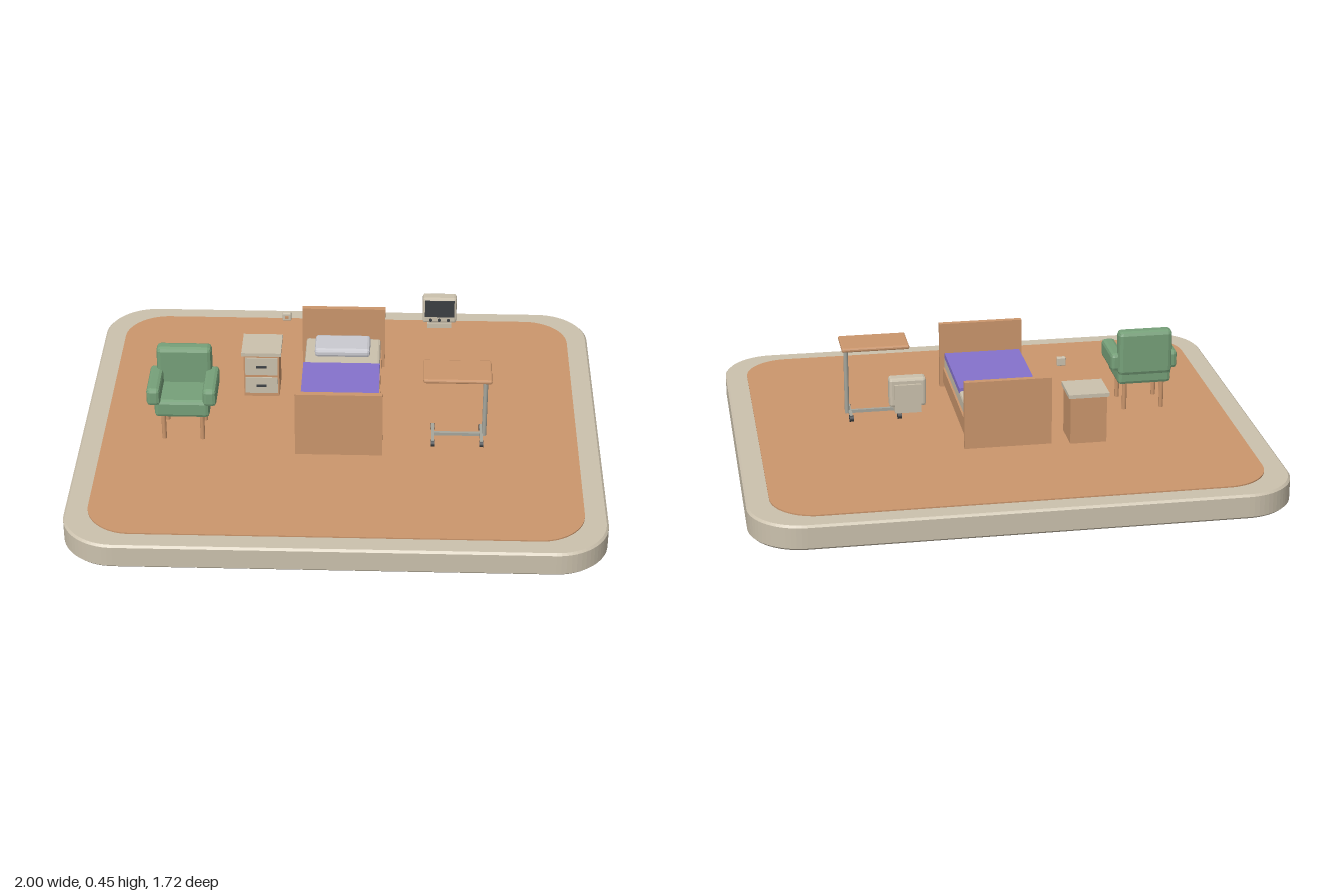
import * as THREE from 'three';
import { RoundedBoxGeometry } from 'three/addons/geometries/RoundedBoxGeometry.js';

const mat = (name, color) => {
  const m = new THREE.MeshStandardMaterial({ color });
  m.name = name;
  return m;
};

export function createModel() {
  const wood = mat('wood', 0xcb966c);
  const beige = mat('beige', 0xcbc1ad);
  const green = mat('green upholstery', 0x76a079);
  const purple = mat('purple blanket', 0x8572cc);
  const white = mat('pillow white', 0xcacad0);
  const dark = mat('dark grey', 0x3c4043);
  const metal = mat('metal grey', 0xa6a69c);

  const model = new THREE.Group();
  model.name = 'hospitalRoom';
  const group = (name) => {
    const g = new THREE.Group();
    g.name = name;
    model.add(g);
    return g;
  };
  const add = (parent, name, geometry, material) => {
    const mesh = new THREE.Mesh(geometry, material);
    mesh.name = name;
    parent.add(mesh);
    return mesh;
  };
  // Box given by its extents; a bevel above zero chamfers the edges
  const box = (parent, name, material, [x0, x1], [y0, y1], [z0, z1], bevel = 0) => {
    const size = [x1 - x0, y1 - y0, z1 - z0];
    const geo = bevel ? new RoundedBoxGeometry(...size, 1, bevel) : new THREE.BoxGeometry(...size);
    if (bevel) geo.computeVertexNormals();
    const mesh = add(parent, name, geo, material);
    mesh.position.set((x0 + x1) / 2, (y0 + y1) / 2, (z0 + z1) / 2);
    return mesh;
  };
  // Upright or lying rod between two points
  const rod = (parent, name, material, a, b, r, sides = 12) => {
    const from = new THREE.Vector3(...a), to = new THREE.Vector3(...b);
    const dir = to.clone().sub(from);
    const mesh = add(parent, name, new THREE.CylinderGeometry(r, r, dir.length(), sides), material);
    mesh.position.copy(from).add(to).multiplyScalar(0.5);
    mesh.quaternion.setFromUnitVectors(new THREE.Vector3(0, 1, 0), dir.normalize());
    return mesh;
  };
  // Slab with rounded corners, lying flat
  const slab = (name, material, w, d, r, y0, y1, bevel) => {
    const x = w - bevel, z = d - bevel, c = r - bevel;
    const s = new THREE.Shape();
    s.absarc(x - c, z - c, c, 0, Math.PI / 2);
    s.absarc(-x + c, z - c, c, Math.PI / 2, Math.PI);
    s.absarc(-x + c, -z + c, c, Math.PI, Math.PI * 1.5);
    s.absarc(x - c, -z + c, c, Math.PI * 1.5, Math.PI * 2);
    const geo = new THREE.ExtrudeGeometry(s, {
      depth: y1 - y0 - 2 * bevel, curveSegments: 8, bevelEnabled: bevel > 0,
      bevelSize: bevel, bevelThickness: bevel, bevelSegments: 1,
    });
    geo.rotateX(-Math.PI / 2);
    geo.translate(0, y0 + bevel, 0);
    add(model, name, geo, material);
  };

  // Platform and floor
  slab('platform', beige, 1, 0.862, 0.2, 0, 0.095, 0.008);
  slab('floor', wood, 0.915, 0.785, 0.17, 0.085, 0.1, 0);

  // Bed
  const bed = group('bed');
  box(bed, 'footboard', wood, [-0.165, 0.165], [0.135, 0.4], [0.28, 0.302]);
  box(bed, 'headboard', wood, [-0.165, 0.165], [0.135, 0.4], [-0.366, -0.344]);
  box(bed, 'bedFrame', wood, [-0.152, 0.152], [0.153, 0.215], [-0.345, 0.281]);
  box(bed, 'mattress', beige, [-0.148, 0.148], [0.215, 0.272], [-0.338, 0.274], 0.01);
  box(bed, 'blanket', purple, [-0.152, 0.148], [0.262, 0.284], [-0.125, 0.26]);
  box(bed, 'pillow', white, [-0.11, 0.108], [0.27, 0.306], [-0.308, -0.185], 0.012);

  // Bedside cabinet with two drawers
  const cabinet = group('bedsideCabinet');
  box(cabinet, 'cabinetBody', wood, [-0.39, -0.25], [0.1, 0.288], [-0.3, -0.164]);
  box(cabinet, 'cabinetTop', beige, [-0.398, -0.242], [0.286, 0.301], [-0.308, -0.157]);
  for (const [y0, y1] of [[0.117, 0.188], [0.2, 0.277]]) {
    const y = (y0 + y1) / 2;
    box(cabinet, 'drawerFront', beige, [-0.384, -0.256], [y0, y1], [-0.165, -0.159]);
    box(cabinet, 'drawerHandle', dark, [-0.34, -0.3], [y - 0.004, y + 0.004], [-0.16, -0.152]);
  }

  // Small call unit above the cabinet
  const call = group('callUnit');
  box(call, 'callBox', beige, [-0.238, -0.204], [0.402, 0.436], [-0.259, -0.24], 0.004);
  box(call, 'callButton', wood, [-0.227, -0.215], [0.413, 0.425], [-0.241, -0.237]);

  // Wall monitor
  const monitor = group('monitor');
  box(monitor, 'monitorCase', beige, [0.313, 0.449], [0.335, 0.447], [-0.407, -0.356], 0.01);
  box(monitor, 'monitorScreen', dark, [0.322, 0.44], [0.365, 0.438], [-0.358, -0.353]);
  box(monitor, 'monitorBracket', beige, [0.332, 0.43], [0.316, 0.337], [-0.416, -0.352]);
  box(monitor, 'monitorBackPlate', beige, [0.332, 0.43], [0.335, 0.425], [-0.416, -0.405]);
  for (const x of [0.345, 0.381, 0.417])
    rod(monitor, 'monitorKnob', dark, [x, 0.351, -0.358], [x, 0.351, -0.35], 0.006, 10);

  // Overbed table on casters
  const table = group('overbedTable');
  box(table, 'tableTop', wood, [0.316, 0.577], [0.391, 0.408], [0.042, 0.195], 0.006);
  rod(table, 'tableColumn', metal, [0.556, 0.118, 0.117], [0.556, 0.392, 0.117], 0.009);
  box(table, 'baseSpine', metal, [0.355, 0.562], [0.114, 0.126], [0.111, 0.123]);
  for (const x of [0.357, 0.545]) {
    box(table, 'baseCrossbar', metal, [x - 0.006, x + 0.006], [0.114, 0.126], [0.055, 0.18]);
    for (const z of [0.058, 0.176])
      rod(table, 'caster', dark, [x - 0.008, 0.113, z], [x + 0.008, 0.113, z], 0.013);
  }

  // Armchair
  const chair = group('armchair');
  const cx = -0.603;
  box(chair, 'seat', green, [cx - 0.105, cx + 0.105], [0.21, 0.283], [-0.012, 0.18], 0.014);
  box(chair, 'backrest', green, [cx - 0.106, cx + 0.106], [0.25, 0.431], [-0.022, 0.036], 0.016);
  for (const side of [-1, 1]) {
    const ax = cx + side * 0.107;
    box(chair, 'armrest', green, [ax - 0.026, ax + 0.026], [0.265, 0.338], [-0.005, 0.188], 0.014);
    for (const z of [0.015, 0.15]) {
      const lx = cx + side * 0.074;
      rod(chair, 'chairLeg', wood, [lx, 0.1, z], [lx, 0.215, z], 0.009, 10);
    }
  }
  return model;
}
